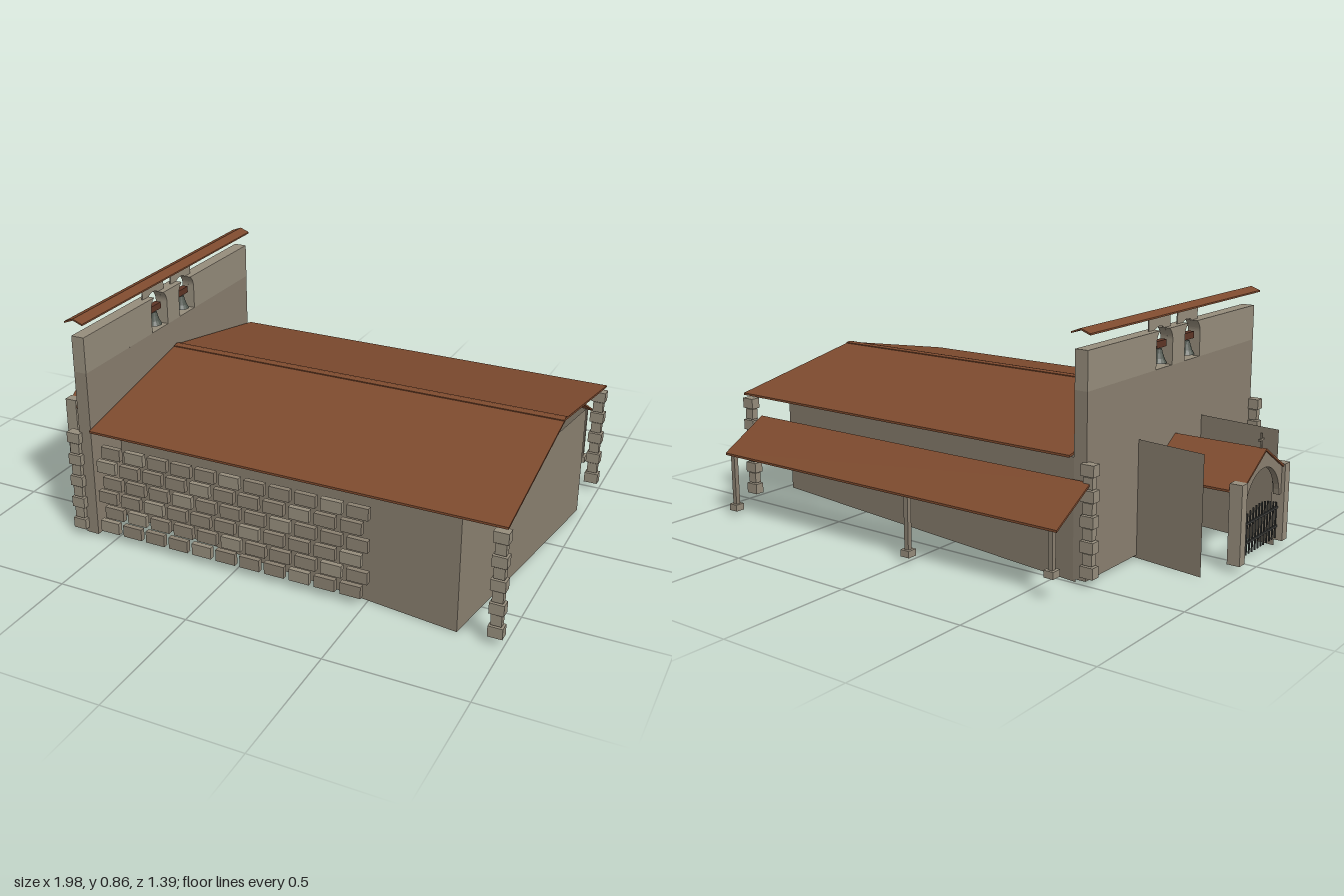
import * as THREE from 'three';

const mat = (color) => new THREE.MeshStandardMaterial({ color, flatShading: true, side: THREE.DoubleSide });
const stone = mat(0x8a8070), paleStone = mat(0x968d7c), roofTile = mat(0x7d4a2e);
const wood = mat(0x5e3526), iron = mat(0x3b3c3a), bronze = mat(0x50574f);

export function createModel() {
  const model = new THREE.Group();

  const add = (name, geometry, material, parent = model) => {
    const mesh = new THREE.Mesh(geometry, material);
    mesh.name = name;
    parent.add(mesh);
    return mesh;
  };
  const group = (name) => {
    const g = new THREE.Group();
    g.name = name;
    model.add(g);
    return g;
  };
  // Box given by its limits
  const box = (name, x0, x1, y0, y1, z0, z1, material, parent) => {
    const g = new THREE.BoxGeometry(x1 - x0, y1 - y0, z1 - z0);
    g.translate((x0 + x1) / 2, (y0 + y1) / 2, (z0 + z1) / 2);
    return add(name, g, material, parent);
  };
  // (z, y) profile carried along x
  const alongX = (name, shape, x0, x1, material, parent) => {
    const g = new THREE.ExtrudeGeometry(shape, { depth: x1 - x0, bevelEnabled: false, curveSegments: 10 });
    g.rotateY(-Math.PI / 2).translate(x1, 0, 0);
    return add(name, g, material, parent);
  };
  // Thin roof section from its upper line
  const roofShape = (pts, t) => new THREE.Shape([
    ...pts.map(([u, v]) => new THREE.Vector2(u, v)),
    ...pts.slice().reverse().map(([u, v]) => new THREE.Vector2(u, v - t)),
  ]);
  // Thin upright wall between two ground points
  const wall = (name, [xa, za], [xb, zb], h, parent) => {
    const g = new THREE.PlaneGeometry(Math.hypot(xb - xa, zb - za), h);
    g.rotateY(-Math.atan2(zb - za, xb - xa)).translate((xa + xb) / 2, h / 2, (za + zb) / 2);
    return add(name, g, stone, parent);
  };

  // Nave walls, slightly turned under the roof
  const nave = group('naveWalls');
  const A = [0.835, 0.675], B = [0.97, -0.29], C = [-0.58, -0.49], D = [-0.6, 0.49];
  wall('frontWall', D, A, 0.43, nave);
  wall('endWall', A, B, 0.43, nave);
  wall('backWall', B, C, 0.43, nave);

  // Entrance side walls, turned like the nave
  wall('entranceWallFront', [-0.95, 0.238], [-0.6, 0.278], 0.43, nave);
  wall('entranceWallBack', [-0.895, -0.205], [-0.6, -0.165], 0.43, nave);

  // Main roof and ridge
  alongX('mainRoof', roofShape([[-0.51, 0.44], [0.09, 0.556], [0.69, 0.44]], 0.008), -0.565, 0.99, roofTile);
  alongX('ridgeCap', roofShape([[0.072, 0.556], [0.09, 0.56], [0.108, 0.556]], 0.006), -0.565, 0.99, roofTile);

  // Bell wall: lower block, then upper block notched by two arches
  const bells = [-0.007, 0.19], r = 0.055, spring = 0.745, sill = 0.655, top = 0.79;
  box('bellWallBase', -0.62, -0.57, 0.01, sill, -0.49, 0.675, stone);
  const upper = new THREE.Shape();
  const neck = Math.asin((top - spring) / r);
  upper.moveTo(0.675, sill);
  upper.lineTo(0.675, top);
  for (const c of [...bells].reverse()) {
    upper.absarc(c, spring, r, neck, 0, true);
    upper.lineTo(c + r, sill + 0.001);
    upper.lineTo(c - r, sill + 0.001);
    upper.absarc(c, spring, r, Math.PI, Math.PI - neck, true);
  }
  upper.lineTo(-0.49, top);
  upper.lineTo(-0.49, sill);
  alongX('bellWallTop', upper, -0.62, -0.57, paleStone);

  // Thin raised frames, each with a hanging bell
  for (const c of bells) {
    const frame = new THREE.Shape();
    frame.moveTo(c - r, sill);
    frame.lineTo(c - 0.073, sill);
    frame.lineTo(c - 0.073, 0.845);
    frame.lineTo(c + 0.073, 0.845);
    frame.lineTo(c + 0.073, sill);
    frame.lineTo(c + r, sill);
    frame.absarc(c, spring, r, 0, Math.PI, false);
    alongX('bellFrame', frame, -0.598, -0.594, paleStone);
    box('bellYoke', -0.608, -0.584, 0.725, 0.75, c - 0.033, c + 0.033, wood);
    const profile = [[0, 0.052], [0.011, 0.05], [0.015, 0.035], [0.021, 0.016], [0.03, 0]];
    const bell = new THREE.LatheGeometry(profile.map(([u, v]) => new THREE.Vector2(u, v)), 14);
    add('bell', bell, bronze).position.set(-0.596, 0.67, c);
  }

  // Coping roof above the bell wall
  const coping = new THREE.ExtrudeGeometry(
    roofShape([[-0.634, 0.847], [-0.597, 0.861], [-0.56, 0.847]], 0.006), { depth: 1.19, bevelEnabled: false });
  add('copingRoof', coping.translate(0, 0, -0.5), roofTile);

  // Corner quoins of alternating blocks
  for (const x of [-0.635, 0.97]) for (const z of [-0.493, 0.678]) {
    const quoin = group('cornerQuoin');
    for (let i = 0; i < 9; i++) {
      const y = 0.03 + i * 0.0437, w = i % 2 ? 0.019 : 0.026, d = i % 2 ? 0.013 : 0.018;
      box('quoinBlock', x - w, x + w, y, y + 0.04, z - d, z + d, paleStone, quoin);
    }
  }

  // Courses of facing stones on the front
  const facing = group('facingStones');
  for (let row = 0; row < 6; row++) for (let i = 0; i < 11; i++) {
    const x = -0.55 + (row % 2 ? 0.024 : 0) + i * 0.0965, y = 0.033 + row * 0.061;
    const m = (i * 5 + row * 3) % 4 ? stone : paleStone;
    box('facingStone', x, x + 0.077, y, y + 0.045, 0.662, 0.682, m, facing);
  }

  // Lean-to roof on three posts behind the nave
  alongX('leanToRoof', roofShape([[-0.69, 0.248], [-0.5, 0.358]], 0.008), -0.642, 0.905, roofTile);
  for (const [x, y] of [[0.88, 0.02], [0, 0.02], [-0.61, 0.08]]) {
    const post = group('leanToPost');
    box('postShaft', x - 0.009, x + 0.009, y, 0.252, -0.679, -0.661, stone, post);
    box('postFoot', x - 0.019, x + 0.019, y, y + 0.025, -0.689, -0.651, paleStone, post);
  }

  // Porch: roof, pillars, arched gable, cross and gate
  const porch = group('porch');
  alongX('porchRoof', roofShape([[-0.097, 0.287], [0.085, 0.4], [0.267, 0.287]], 0.008), -0.98, -0.6, roofTile, porch);
  for (const z of [-0.08, 0.25]) {
    box('porchPillar', -0.985, -0.937, 0.025, 0.312, z - 0.019, z + 0.019, paleStone, porch);
  }
  const gable = new THREE.Shape();
  gable.moveTo(-0.07, 0.2);
  gable.lineTo(-0.07, 0.296);
  gable.lineTo(0.085, 0.392);
  gable.lineTo(0.24, 0.296);
  gable.lineTo(0.24, 0.2);
  gable.lineTo(0.215, 0.2);
  gable.absarc(0.085, 0.2, 0.13, 0, Math.PI, false);
  alongX('porchGable', gable, -0.972, -0.95, stone, porch);
  box('crossUpright', -0.961, -0.954, 0.39, 0.452, 0.082, 0.088, stone, porch);
  box('crossArm', -0.961, -0.954, 0.425, 0.432, 0.067, 0.103, stone, porch);
  for (let i = 0; i < 13; i++) {
    const z = -0.05 + i * 0.0225, h = 0.17 + 0.03 * Math.sin(Math.PI * i / 12);
    box('gateBar', -0.963, -0.958, 0.035, h, z - 0.0025, z + 0.0025, iron, porch);
  }
  for (const y of [0.075, 0.145]) box('gateRail', -0.964, -0.957, y, y + 0.008, -0.065, 0.235, iron, porch);

  return model;
}
